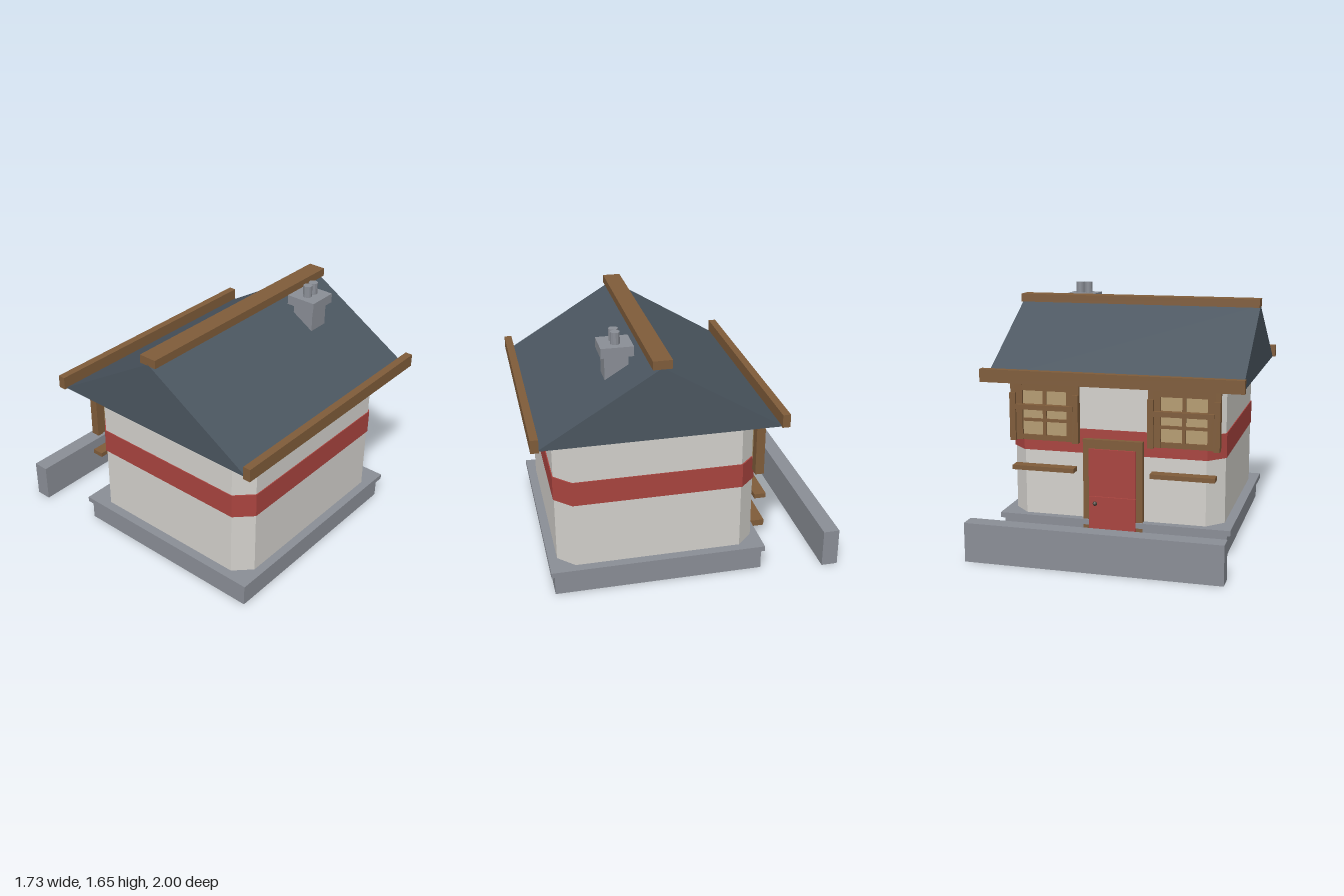
import * as THREE from 'three';

const mat = (color, side = THREE.FrontSide) =>
  new THREE.MeshStandardMaterial({ color, side, flatShading: true });

const stone = mat(0x8a8e96);
const plaster = mat(0xd3d1cc);
const red = mat(0xa9443f);
const wood = mat(0x7f5c3a);
const slate = mat(0x4b5660, THREE.DoubleSide);
const glass = mat(0xb59c72);
const metal = mat(0x4a4038);

const MID = 0.2; // z of the house centre

export function createModel() {
  const model = new THREE.Group();
  model.name = 'cottage';

  const add = (parent, name, geometry, material) => {
    const mesh = new THREE.Mesh(geometry, material);
    mesh.name = name;
    parent.add(mesh);
    return mesh;
  };

  // box given by its extents on each axis
  const box = (parent, name, material, [x0, x1], [y0, y1], [z0, z1]) => {
    const mesh = add(parent, name, new THREE.BoxGeometry(x1 - x0, y1 - y0, z1 - z0), material);
    mesh.position.set((x0 + x1) / 2, (y0 + y1) / 2, (z0 + z1) / 2);
    return mesh;
  };

  // upright block with chamfered corners
  const chamferedBlock = (name, material, hx, hz, y0, y1, c) => {
    const pts = [
      [hx, hz - c], [hx - c, hz], [c - hx, hz], [-hx, hz - c],
      [-hx, c - hz], [c - hx, -hz], [hx - c, -hz], [hx, c - hz],
    ].map(([x, y]) => new THREE.Vector2(x, y));
    const geometry = new THREE.ExtrudeGeometry(new THREE.Shape(pts), { depth: y1 - y0, bevelEnabled: false });
    geometry.rotateX(-Math.PI / 2);
    add(model, name, geometry, material).position.set(0, y0, MID);
  };

  // plinth, walls and painted band
  box(model, 'plinth', stone, [-0.755, 0.755], [0, 0.14], [MID - 0.685, MID + 0.685]);
  box(model, 'plinthSlab', stone, [-0.78, 0.78], [0.14, 0.175], [MID - 0.703, MID + 0.708]);
  chamferedBlock('walls', plaster, 0.717, 0.65, 0.175, 1.08, 0.107);
  chamferedBlock('wallBand', red, 0.723, 0.656, 0.613, 0.775, 0.107);

  // hollow gabled roof, open underneath
  const L = 0.845, EAVE = 1.08, RIDGE = 1.54, F = MID + 0.76, B = MID - 0.76;
  const corner = {
    a: [-L, EAVE, F], b: [L, EAVE, F], c: [L, EAVE, B],
    d: [-L, EAVE, B], e: [-L, RIDGE, MID], f: [L, RIDGE, MID],
  };
  const roof = new THREE.BufferGeometry();
  const roofPoints = [...'abfafecdecefbcfdae'].flatMap((k) => corner[k]);
  roof.setAttribute('position', new THREE.Float32BufferAttribute(roofPoints, 3));
  roof.computeVertexNormals();
  add(model, 'roof', roof, slate);

  // ridge and eave beams
  box(model, 'ridgeBeam', wood, [-L, L], [1.53, 1.585], [MID - 0.06, MID + 0.06]);
  for (const s of [-1, 1]) {
    const z = MID + s * 0.772;
    box(model, s > 0 ? 'frontEaveBeam' : 'backEaveBeam', wood,
      [-0.865, 0.865], [1.08, 1.165], [z - 0.025, z + 0.025]);
  }

  // chimney with two pots
  const chimney = new THREE.Group();
  chimney.name = 'chimney';
  model.add(chimney);
  box(chimney, 'chimneyStack', stone, [0.392, 0.538], [1.1, 1.515], [0.345, 0.495]);
  box(chimney, 'chimneyCap', stone, [0.362, 0.568], [1.515, 1.578], [0.315, 0.52]);
  for (const x of [0.434, 0.494]) {
    add(chimney, 'chimneyPot', new THREE.CylinderGeometry(0.03, 0.03, 0.077, 12), stone)
      .position.set(x, 1.6165, 0.418);
  }

  // back door with frame, split leaf, knob and step
  const door = new THREE.Group();
  door.name = 'door';
  model.add(door);
  for (const s of [-1, 1]) {
    box(door, 'doorPost', wood, [s * 0.178 - 0.022, s * 0.178 + 0.022], [0.045, 0.7], [-0.49, -0.44]);
  }
  box(door, 'doorLintel', wood, [-0.2, 0.2], [0.655, 0.715], [-0.492, -0.44]);
  box(door, 'lowerLeaf', red, [-0.157, 0.157], [0.045, 0.335], [-0.506, -0.45]);
  box(door, 'upperLeaf', red, [-0.157, 0.157], [0.339, 0.655], [-0.506, -0.45]);
  add(door, 'doorKnob', new THREE.SphereGeometry(0.015, 10, 8), metal).position.set(0.115, 0.29, -0.512);
  box(door, 'doorStep', wood, [-0.25, 0.25], [0, 0.045], [-0.67, -0.475]);

  // pair of windows, each with a shelf below
  for (const s of [-1, 1]) {
    const win = new THREE.Group();
    win.name = s > 0 ? 'leftWindow' : 'rightWindow';
    win.position.x = s * 0.466;
    model.add(win);
    box(win, 'pane', glass, [-0.17, 0.17], [0.69, 1.05], [-0.462, -0.44]);
    box(win, 'windowHeader', wood, [-0.2, 0.2], [1.015, 1.06], [-0.475, -0.44]);
    box(win, 'windowSill', wood, [-0.2, 0.2], [0.685, 0.72], [-0.475, -0.44]);
    for (const t of [-1, 1]) {
      box(win, 'windowJamb', wood, [t * 0.177 - 0.025, t * 0.177 + 0.025], [0.685, 1.06], [-0.48, -0.44]);
      box(win, 'windowPost', wood, [t * 0.215 - 0.02, t * 0.215 + 0.02], [0.68, 1.0], [-0.497, -0.44]);
      box(win, 'postTop', wood, [t * 0.215 - 0.02, t * 0.215 + 0.02], [1.0, 1.06], [-0.475, -0.44]);
    }
    box(win, 'mullion', wood, [-0.012, 0.012], [0.72, 1.02], [-0.475, -0.455]);
    box(win, 'lowerGlazingBar', wood, [-0.16, 0.16], [0.81, 0.83], [-0.475, -0.455]);
    box(win, 'crossRail', wood, [-0.2, 0.2], [0.892, 0.925], [-0.505, -0.455]);
    box(win, 'shelf', wood, [-0.212, 0.212], [0.488, 0.518], [-0.525, -0.448]);
  }

  // low garden wall behind the house
  box(model, 'gardenWall', stone, [-0.825, 0.825], [0, 0.255], [-1, -0.893]);

  return model;
}
